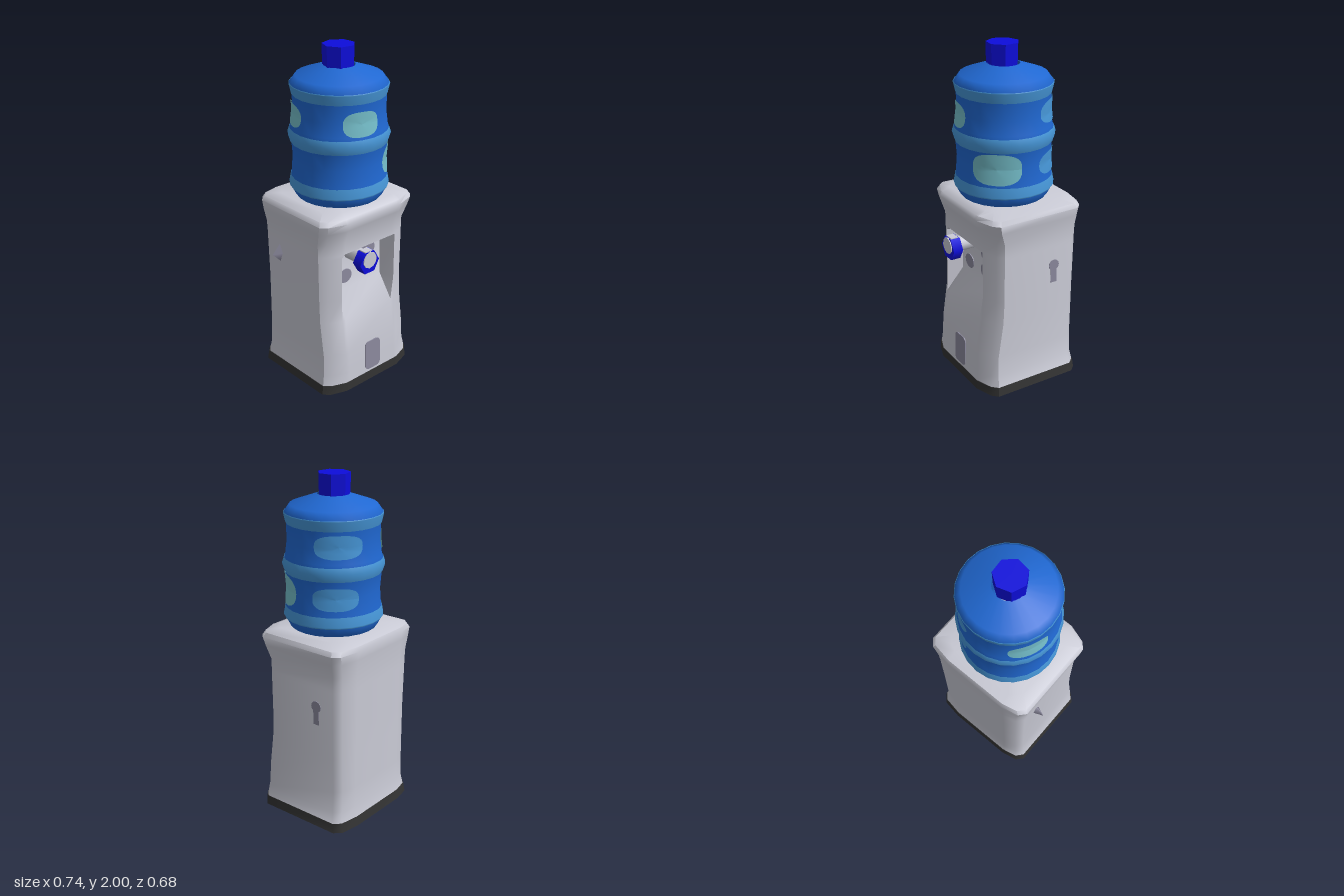
import * as THREE from 'three';
import { toCreasedNormals } from 'three/addons/utils/BufferGeometryUtils.js';

function makeMaterial(name, color, side = THREE.FrontSide) {
  const m = new THREE.MeshStandardMaterial({ color, side });
  m.name = name;
  return m;
}

// Skin stacked rings of points (bottom to top), optionally closing the ends.
function loft(rings, capBottom, capTop) {
  const n = rings[0].length, pos = rings.flat(2), index = [];
  for (let r = 0; r < rings.length - 1; r++) {
    for (let i = 0; i < n; i++) {
      const j = (i + 1) % n, a = r * n + i, b = r * n + j;
      index.push(a, b, b + n, a, b + n, a + n);
    }
  }
  const cap = (r, up) => {
    const c = pos.length / 3;
    pos.push(0, rings[r][0][1], 0);
    for (let i = 0; i < n; i++) {
      const a = r * n + i, b = r * n + (i + 1) % n;
      index.push(c, up ? a : b, up ? b : a);
    }
  };
  if (capBottom) cap(0, false);
  if (capTop) cap(rings.length - 1, true);
  const g = new THREE.BufferGeometry();
  g.setAttribute('position', new THREE.Float32BufferAttribute(pos, 3));
  g.setIndex(index);
  return toCreasedNormals(g, 0.75);
}

// Cabinet outline at one height; depth pushes the middle of the front inwards.
function outline(y, x0, x1, zb, zf, depth = 0) {
  return [
    [x0, zf - 0.07], [x0 + 0.035, zf - 0.035], [-0.2, zf],
    [-0.175, zf - depth], [0.19, zf - depth], [0.215, zf],
    [x1 - 0.035, zf - 0.035], [x1, zf - 0.07],
    [x1, zb + 0.06], [x1 - 0.035, zb + 0.02], [0.2, zb],
    [-0.2, zb], [x0 + 0.035, zb + 0.02], [x0, zb + 0.06],
  ].map(([x, z]) => [x, y, z]);
}

// Bottle radius and height, from the seat to the neck.
const PROFILE = [
  [0.235, 1.12], [0.255, 1.145], [0.283, 1.2], [0.272, 1.26], [0.265, 1.36], [0.272, 1.45],
  [0.288, 1.5], [0.272, 1.55], [0.262, 1.63], [0.264, 1.73], [0.277, 1.785],
  [0.245, 1.83], [0.09, 1.885],
];

function radiusAt(y) {
  for (let i = 1; i < PROFILE.length; i++) {
    const [r0, y0] = PROFILE[i - 1], [r1, y1] = PROFILE[i];
    if (y <= y1) return r0 + (r1 - r0) * (y - y0) / (y1 - y0);
  }
  return 0.09;
}

const SIDES = 24;
function lathe(points) {
  return new THREE.LatheGeometry(points.map(([r, y]) => new THREE.Vector2(r, y)), SIDES);
}

// Rounded patch wrapped on the bottle between two angles (degrees) and heights.
function bottlePatch(a0, a1, y0, y1) {
  const g = new THREE.RingGeometry(0.001, 1, 28, 5), p = g.attributes.position;
  const square = (v) => Math.sign(v) * Math.pow(Math.abs(v), 0.75);
  for (let i = 0; i < p.count; i++) {
    const a = THREE.MathUtils.degToRad((a0 + a1) / 2 + square(p.getX(i)) * (a1 - a0) / 2);
    const y = (y0 + y1) / 2 + square(p.getY(i)) * (y1 - y0) / 2;
    const r = radiusAt(y) + 0.005;
    p.setXYZ(i, Math.sin(a) * r, y, Math.cos(a) * r);
  }
  g.computeVertexNormals();
  return g;
}

export function createModel() {
  const white = makeMaterial('cabinet white', 0xcacbd6);
  const dark = makeMaterial('base black', 0x333333);
  const grey = makeMaterial('marking grey', 0x8c8a9e);
  const blue = makeMaterial('bottle blue', 0x2068d2, THREE.DoubleSide);
  const band = makeMaterial('band light blue', 0x4798da, THREE.DoubleSide);
  const teal = makeMaterial('reflection teal', 0x76c0cc, THREE.DoubleSide);
  const navy = makeMaterial('cap blue', 0x0d0ddc);

  const model = new THREE.Group();
  model.name = 'waterDispenser';
  const add = (name, geometry, material, x = 0, y = 0, z = 0, parent = model) => {
    const m = new THREE.Mesh(geometry, material);
    m.name = name;
    m.position.set(x, y, z);
    parent.add(m);
    return m;
  };

  // Cabinet with a sloping-floored tap recess and a flared top
  add('cabinet', loft([
    [0.055, -0.325, 0.35, -0.325, 0.307],
    [0.12, -0.315, 0.335, -0.315, 0.303],
    [0.25, -0.31, 0.33, -0.315, 0.298],
    [0.46, -0.31, 0.333, -0.315, 0.268],
    [0.6, -0.31, 0.335, -0.315, 0.262, 0.09],
    [0.865, -0.315, 0.338, -0.318, 0.262, 0.1],
    [0.885, -0.315, 0.338, -0.318, 0.262],
    [0.96, -0.318, 0.34, -0.32, 0.262],
    [1.04, -0.335, 0.355, -0.325, 0.29],
    [1.09, -0.34, 0.365, -0.33, 0.302],
    [1.115, -0.325, 0.35, -0.32, 0.29],
    [1.135, -0.26, 0.28, -0.26, 0.24],
  ].map((r) => outline(...r)), false, true), white);

  // Base skirt with a pale opening underneath
  add('base', loft([
    outline(0, -0.335, 0.358, -0.335, 0.312),
    outline(0.055, -0.328, 0.352, -0.328, 0.31),
  ], true, true), dark);
  add('baseOpening', new THREE.BoxGeometry(0.5, 0.004, 0.1), white, 0.01, -0.001, 0.2);

  // Markings inside the recess and on the lower front
  for (const [x, y, r] of [[0.09, 0.795, 0.056], [-0.09, 0.68, 0.048], [0.09, 0.685, 0.05]]) {
    const spot = add('recessSpot', new THREE.CylinderGeometry(r, r, 0.006, 14), grey, x, y, 0.17 - (y - 0.68) * 0.04);
    spot.rotation.x = Math.PI / 2;
    spot.scale.z = 0.92;
  }
  const plate = new THREE.Shape();
  plate.absellipse(0.03, 0.065, 0.03, 0.03, 0, Math.PI / 2);
  plate.absellipse(-0.03, 0.065, 0.03, 0.03, Math.PI / 2, Math.PI);
  plate.absellipse(-0.03, -0.065, 0.03, 0.03, Math.PI, Math.PI * 1.5);
  plate.absellipse(0.03, -0.065, 0.03, 0.03, Math.PI * 1.5, Math.PI * 2);
  add('frontPlate', new THREE.ExtrudeGeometry(plate, { depth: 0.008, bevelEnabled: false }),
    grey, 0.012, 0.165, 0.298).rotation.x = -0.03;

  // Side handles: flat marking on the left, small fin on the right
  const mark = add('sideMark', new THREE.CylinderGeometry(0.034, 0.034, 0.006, 12), grey, 0.337, 0.755, -0.138);
  mark.rotation.z = Math.PI / 2;
  add('sideMarkStem', new THREE.BoxGeometry(0.006, 0.09, 0.04), grey, 0.336, 0.69, -0.138);
  const fin = add('sideFin', new THREE.ConeGeometry(0.06, 0.06, 4), grey, -0.34, 0.79, -0.148);
  fin.rotation.z = Math.PI / 2;
  fin.scale.z = 0.42;

  // Tap
  const tap = new THREE.Group();
  tap.name = 'tap';
  tap.position.set(-0.055, 0.82, 0);
  model.add(tap);
  const rod = (name, r, depth, sides, material, y, z) => {
    add(name, new THREE.CylinderGeometry(r, r, depth, sides).rotateY(Math.PI / 6).rotateX(Math.PI / 2),
      material, 0, y, z, tap);
  };
  rod('tapStem', 0.045, 0.13, 10, white, 0.012, 0.215);
  rod('tapBody', 0.073, 0.06, 6, navy, 0, 0.305);
  rod('tapFace', 0.05, 0.008, 10, white, 0.016, 0.336);
  add('tapTop', new THREE.BoxGeometry(0.055, 0.008, 0.045), white, 0, 0.065, 0.305, tap);

  // Bottle with light bands and wrapped reflections
  const bottle = new THREE.Group();
  bottle.name = 'bottle';
  bottle.position.set(0.015, 0, 0);
  model.add(bottle);
  add('bottleBody', lathe(PROFILE), blue, 0, 0, 0, bottle);
  for (const [y0, y1] of [[1.19, 1.255], [1.455, 1.535], [1.73, 1.79]]) {
    const inside = PROFILE.filter(([, y]) => y > y0 && y < y1);
    const points = [[radiusAt(y0), y0], ...inside, [radiusAt(y1), y1]];
    add('bottleBand', lathe(points.map(([r, y]) => [r + 0.003, y])), band, 0, 0, 0, bottle);
  }
  for (const [a0, a1, y0, y1, material] of [
    [-38, 8, 1.55, 1.69, teal], [20, 80, 1.27, 1.45, teal], [-142, -92, 1.56, 1.69, teal],
    [106, 165, 1.58, 1.71, band], [104, 160, 1.29, 1.42, band],
  ]) add('bottleReflection', bottlePatch(a0, a1, y0, y1), material, 0, 0, 0, bottle);

  // Neck cap
  const cap = add('bottleCap', toCreasedNormals(new THREE.CylinderGeometry(0.093, 0.09, 0.13, 7), 0.4),
    navy, 0.008, 1.935, 0.003);
  cap.rotation.y = 0.3;

  return model;
}
